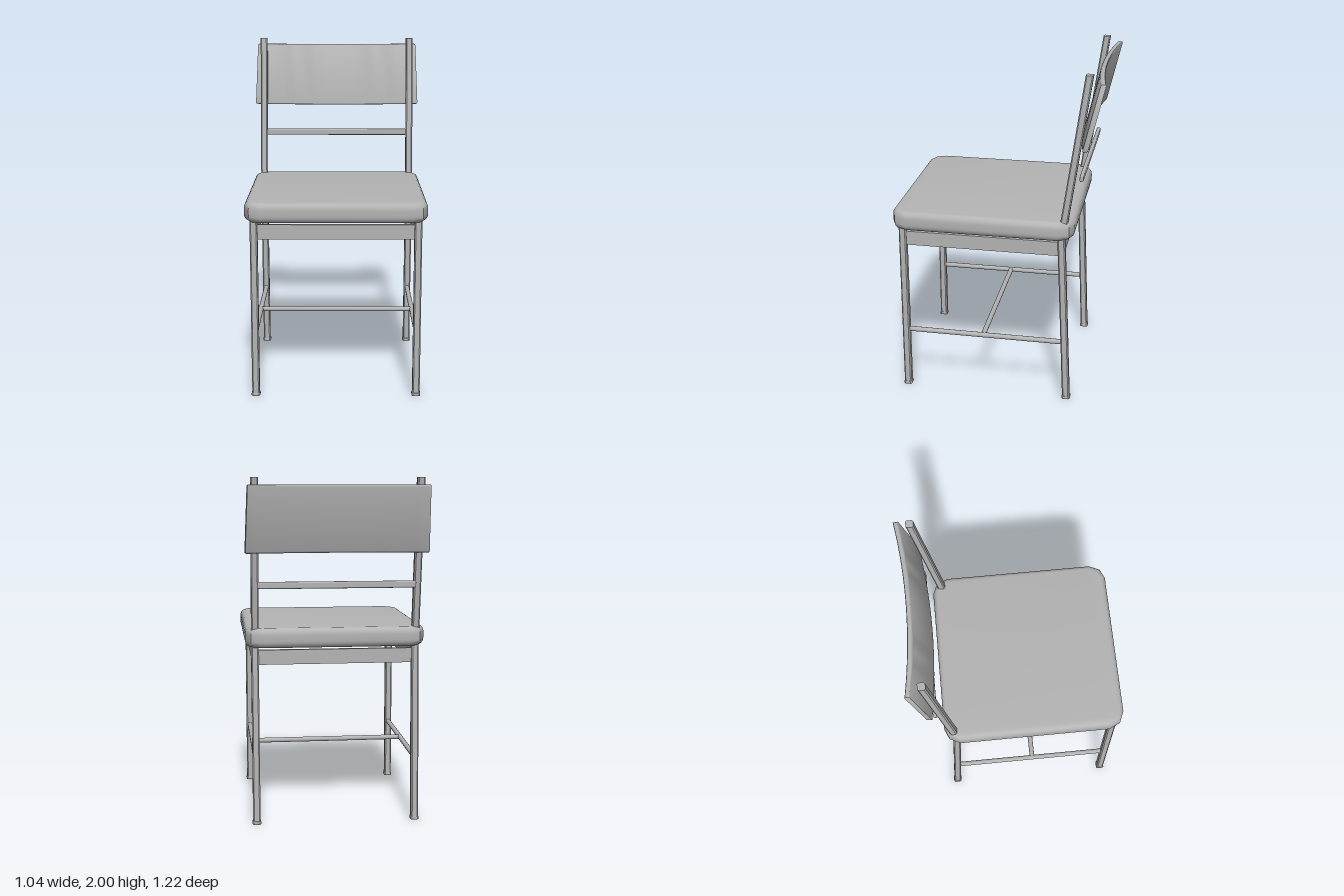
import * as THREE from 'three';
import { toCreasedNormals } from 'three/addons/utils/BufferGeometryUtils.js';
import { RoundedBoxGeometry } from 'three/addons/geometries/RoundedBoxGeometry.js';

const grey = new THREE.MeshStandardMaterial({ color: 0xb4b4b4 });
grey.name = 'grey';

// Extrude an (x, -z) outline upwards from y0 to y1 with rounded rims, then bend it by a rule
function prism(outline, y0, y1, bevel, rimHeight, segments, rule) {
  const shape = new THREE.Shape(outline.map(([x, z]) => new THREE.Vector2(x, -z)));
  const g = new THREE.ExtrudeGeometry(shape, {
    depth: y1 - y0 - 2 * rimHeight, bevelEnabled: bevel > 0,
    bevelSize: bevel, bevelOffset: -bevel, bevelThickness: rimHeight, bevelSegments: segments,
  });
  g.rotateX(-Math.PI / 2).translate(0, y0 + rimHeight, 0);
  if (rule) {
    const p = g.attributes.position;
    const v = new THREE.Vector3();
    for (let i = 0; i < p.count; i++) {
      v.fromBufferAttribute(p, i);
      rule(v, (v.y - y0) / (y1 - y0));
      p.setXYZ(i, v.x, v.y, v.z);
    }
  }
  return toCreasedNormals(g, 0.7);
}

// Square outline with cut corners
function squareOutline(half, cut) {
  const a = half, b = half - cut;
  return [[a, b], [b, a], [-b, a], [-a, b], [-a, -b], [-b, -a], [b, -a], [a, -b]];
}

// Square bar leaning from z0 at its foot to z1 at its top
function bar(y0, y1, z0, z1) {
  return prism(squareOutline(0.0215, 0.007), y0, y1, 0, 0, 1, (v, t) => { v.z += z0 + (z1 - z0) * t; });
}

export function createModel() {
  const chair = new THREE.Group();
  chair.name = 'chair';
  const add = (name, geometry, x = 0, y = 0, z = 0) => {
    const mesh = new THREE.Mesh(geometry, grey);
    mesh.name = name;
    mesh.position.set(x, y, z);
    chair.add(mesh);
    return mesh;
  };

  // Padded seat with clipped corners
  const right = [[0.43, 0.61], [0.49, 0.585], [0.52, 0.52], [0.52, -0.365], [0.488, -0.43], [0.43, -0.455]];
  const left = right.map(([x, z]) => [-x, z]).reverse();
  add('seat', prism([...right, ...left], 1.035, 1.15, 0.032, 0.04, 5));

  // Legs, back posts, feet, side aprons and side stretchers
  const legX = 0.465;
  for (const [side, s] of [['left', 1], ['right', -1]]) {
    const x = s * legX;
    add(side + 'FrontLeg', bar(0.015, 1.04, 0.545, 0.545), x);
    add(side + 'BackLeg', bar(0.015, 1.04, -0.43, -0.385), x);
    add(side + 'BackPost', bar(1.04, 2.0, -0.385, -0.521), x);
    for (const [end, z] of [['Front', 0.545], ['Back', -0.43]]) {
      add(side + end + 'Foot', prism(squareOutline(0.025, 0.008), 0, 0.02, 0.005, 0.005, 2), x, 0, z);
    }
    add(side + 'Apron', new THREE.BoxGeometry(0.024, 0.085, 0.9), x, 0.9775, 0.077);
    const stretcher = new THREE.CylinderGeometry(0.015, 0.015, 0.93, 12).rotateX(Math.PI / 2);
    add(side + 'Stretcher', stretcher, x, 0.376, 0.067);
  }
  add('frontApron', new THREE.BoxGeometry(0.9, 0.085, 0.024), 0, 0.9775, 0.545);
  add('backApron', new THREE.BoxGeometry(0.9, 0.085, 0.024), 0, 0.9775, -0.387);
  add('crossStretcher', new THREE.CylinderGeometry(0.015, 0.015, 0.92, 12).rotateZ(Math.PI / 2), 0, 0.376, 0.075);

  // Slim rail behind the posts
  add('backRail', new RoundedBoxGeometry(0.9, 0.04, 0.022, 3, 0.009), 0, 1.4, -0.488);

  // Curved, leaning backrest that narrows slightly at the top
  const front = [], back = [];
  const steps = 16;
  for (let i = 0; i <= steps; i++) {
    const u = (i / steps) * 2 - 1;
    const z = -0.455 - 0.04 * u * u;
    front.push([-u * 0.522, z]);
    back.unshift([-u * 0.518, z - 0.03]);
  }
  add('backrest', prism([...back, ...front].reverse(), 1.58, 1.96, 0.008, 0.01, 3, (v, t) => {
    v.x *= 1 - 0.025 * t;
    v.z -= 0.09 * t;
  }));

  return chair;
}
